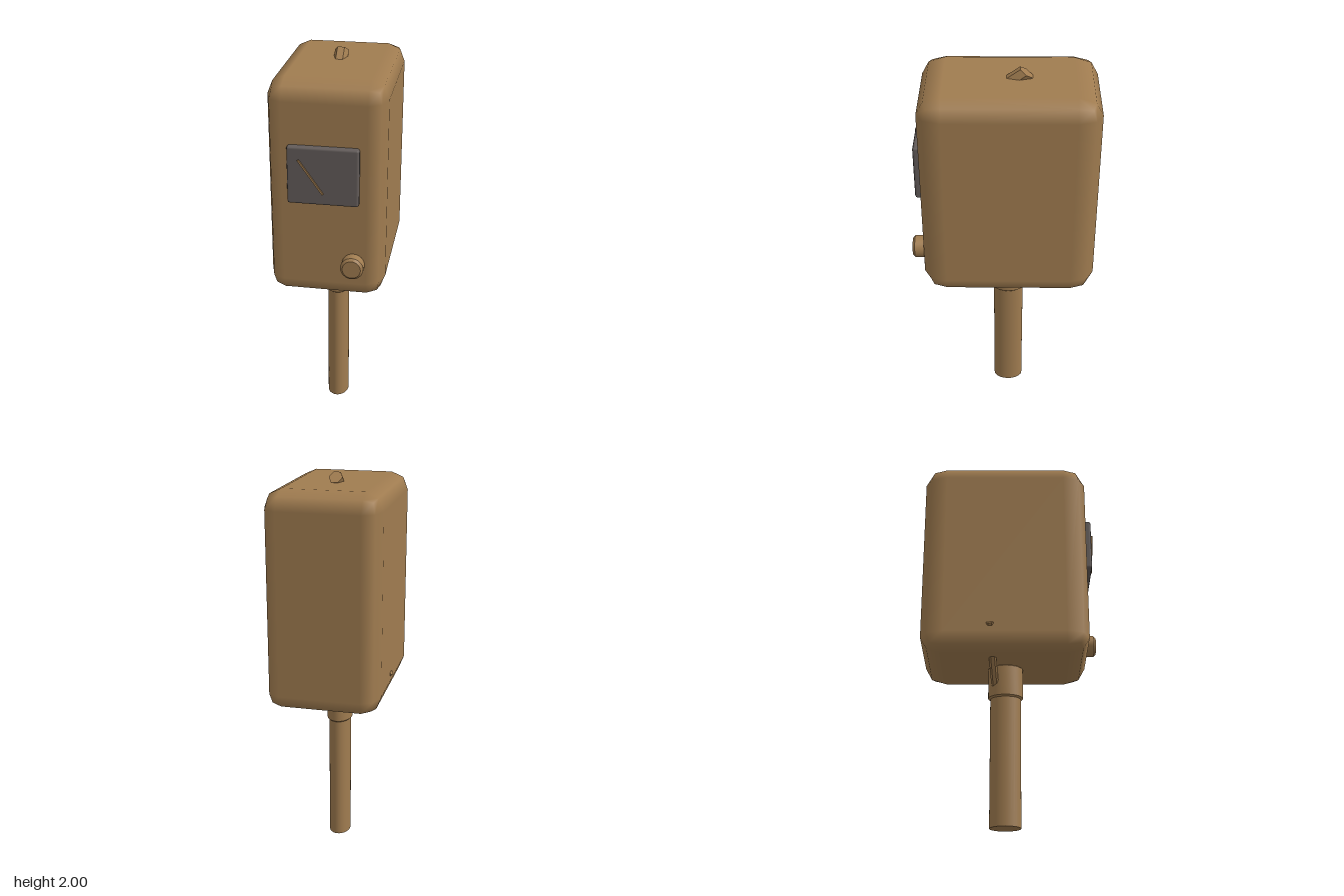
import * as THREE from 'three';
import { toCreasedNormals } from 'three/addons/utils/BufferGeometryUtils.js';
import { RoundedBoxGeometry } from 'three/addons/geometries/RoundedBoxGeometry.js';

// Box with two-step rounded edges and a separate radius per axis
function softBox(w, h, d, rx, ry, rz) {
  return new RoundedBoxGeometry(w / rx, h / ry, d / rz, 1, 1).scale(rx, ry, rz);
}

// Upright drum with chamfered rims, base at y = 0
function drum(r, h, bevel) {
  const profile = [[0, 0], [r - bevel, 0], [r, bevel], [r, h - bevel], [r - bevel, h], [0, h]]
    .map(([x, y]) => new THREE.Vector2(x, y));
  return toCreasedNormals(new THREE.LatheGeometry(profile, 32), 0.6);
}

export function createModel() {
  const model = new THREE.Group();
  model.name = 'meterOnPost';

  const tan = new THREE.MeshStandardMaterial({ color: 0xa07c50 });
  tan.name = 'tan paint';
  const grey = new THREE.MeshStandardMaterial({ color: 0x635c5a });
  grey.name = 'grey panel';

  function add(name, geometry, material, x, y, z) {
    const mesh = new THREE.Mesh(geometry, material);
    mesh.name = name;
    mesh.position.set(x, y, z);
    model.add(mesh);
    return mesh;
  }

  // Housing
  add('housing', softBox(0.58, 1.105, 0.87, 0.085, 0.09, 0.117), tan, 0.005, 1.4025, -0.03);

  // Oval post and collar
  add('post', new THREE.CylinderGeometry(0.057, 0.057, 0.8, 32).scale(1, 1, 1.39), tan, 0.003, 0.4, -0.027);
  add('collar', drum(0.066, 0.18, 0.009).scale(1, 1, 1.37), tan, 0.004, 0.675, -0.027);

  // Dial panel and its needle
  add('dialPanel', softBox(0.346, 0.29, 0.09, 0.012, 0.012, 0.014), grey, 0.003, 1.515, 0.391);
  const needle = add('needle', new THREE.BoxGeometry(0.009, 0.206, 0.008), tan, -0.053, 1.515, 0.445);
  needle.rotation.z = Math.atan2(0.118, 0.168);

  // Round knob
  add('knob', drum(0.057, 0.12, 0.012).rotateX(Math.PI / 2), tan, 0.148, 1.05, 0.345);

  // Slanted six-sided peg on the roof
  const peg = new THREE.CylinderGeometry(0.035, 0.035, 0.16, 6).toNonIndexed();
  peg.computeVertexNormals();
  peg.translate(0, -0.08, 0).rotateY(Math.PI / 6).rotateX(-Math.PI / 4).scale(1, 1, 1.4);
  add('roofPeg', peg, tan, 0.005, 1.979, -0.109);

  // Thin brace from the collar out through the lower side of the housing
  const start = new THREE.Vector3(-0.02, 0.73, -0.08);
  const end = new THREE.Vector3(-0.289, 0.984, -0.107);
  const brace = new THREE.CylinderGeometry(0.012, 0.012, start.distanceTo(end), 6).toNonIndexed();
  brace.computeVertexNormals();
  brace.scale(1, 1, 1.6);
  const mid = start.clone().add(end).multiplyScalar(0.5);
  add('brace', brace, tan, mid.x, mid.y, mid.z)
    .quaternion.setFromUnitVectors(new THREE.Vector3(0, 1, 0), end.clone().sub(start).normalize());

  return model;
}
